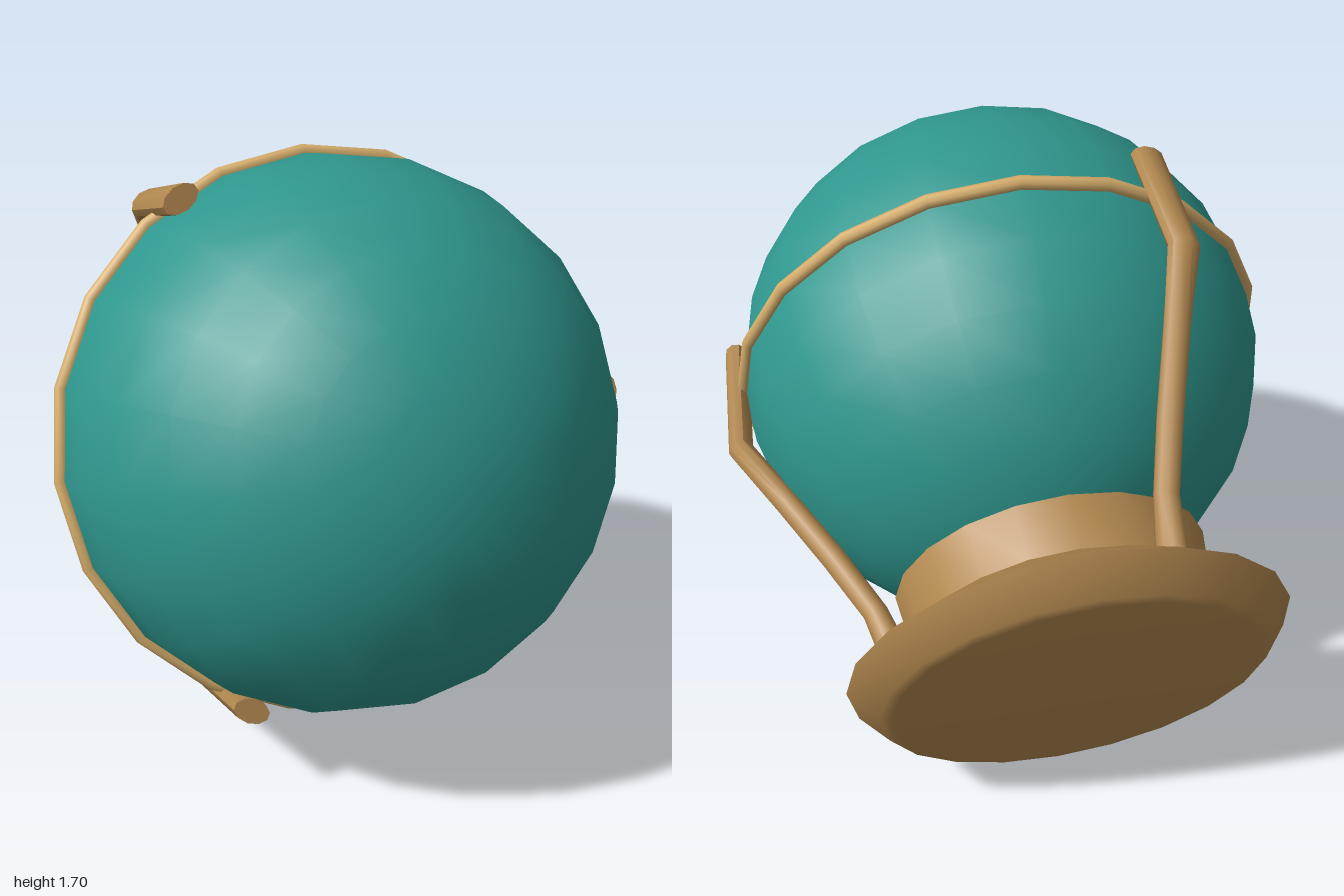
import * as THREE from 'three';
import { toCreasedNormals } from 'three/addons/utils/BufferGeometryUtils.js';

const SIDES = 20;

// Bent strut lofted from oval sections: [radius, height, half thickness, half width]
function strutGeometry(stations, sides = 10) {
  const positions = [], index = [];
  const last = stations.length - 1;
  stations.forEach(([r, y, thick, wide], i) => {
    const a = stations[Math.max(i - 1, 0)], b = stations[Math.min(i + 1, last)];
    const along = new THREE.Vector2(b[0] - a[0], b[1] - a[1]).normalize();
    for (let k = 0; k < sides; k++) {
      const angle = (k / sides) * Math.PI * 2;
      const out = Math.cos(angle) * thick;
      positions.push(r - along.y * out, y + along.x * out, Math.sin(angle) * wide);
    }
  });
  for (let i = 0; i < last; i++) {
    for (let k = 0; k < sides; k++) {
      const a = i * sides + k, b = i * sides + (k + 1) % sides;
      index.push(a, b, a + sides, b, b + sides, a + sides);
    }
  }
  // End caps
  for (let k = 1; k < sides - 1; k++) {
    const e = last * sides;
    index.push(0, k + 1, k, e, e + k, e + k + 1);
  }
  const geometry = new THREE.BufferGeometry();
  geometry.setAttribute('position', new THREE.Float32BufferAttribute(positions, 3));
  geometry.setIndex(index);
  return toCreasedNormals(geometry, 0.75);
}

export function createModel() {
  const teal = new THREE.MeshStandardMaterial({ name: 'teal', color: 0x2f978e });
  const wood = new THREE.MeshStandardMaterial({ name: 'wood', color: 0xb2884f });
  const brass = new THREE.MeshStandardMaterial({ name: 'paleBrass', color: 0xd6ae6c });

  const model = new THREE.Group();
  model.name = 'globeOnStand';

  // Everything shares one axis, tipped forward about the globe's centre
  const tilted = new THREE.Group();
  tilted.name = 'tiltedGlobe';
  tilted.position.set(-0.03, 0.92, 0.21);
  tilted.rotation.x = THREE.MathUtils.degToRad(70);
  model.add(tilted);

  const add = (name, geometry, material) => {
    const mesh = new THREE.Mesh(geometry, material);
    mesh.name = name;
    tilted.add(mesh);
    return mesh;
  };

  add('globe', new THREE.SphereGeometry(0.787, SIDES, 14), teal);

  // Thin band round the equator
  const band = add('equatorRing', new THREE.TorusGeometry(0.79, 0.021, 8, SIDES), brass);
  band.rotation.x = Math.PI / 2;

  // Flared foot, neck and shallow dish below the globe
  const profile = [
    [0, -1.09], [0.5, -1.09], [0.53, -1.085], [0.607, -1.0],
    [0.42, -0.89], [0.44, -0.745], [0.36, -0.8], [0, -0.81],
  ].map(([r, y]) => new THREE.Vector2(r, y));
  add('base', toCreasedNormals(new THREE.LatheGeometry(profile, SIDES), 1.0), wood);

  // Three bent arms from the base to the band
  const arm = strutGeometry([
    [0.46, -0.93, 0.042, 0.042],
    [0.5, -0.78, 0.035, 0.034],
    [0.59, -0.6, 0.036, 0.036],
    [0.7, -0.4, 0.036, 0.037],
    [0.815, -0.2, 0.036, 0.05],
    [0.8, 0.15, 0.034, 0.054],
  ]);
  for (let i = 0; i < 3; i++) {
    add('supportArm' + (i + 1), arm, wood).rotation.y = (i * Math.PI * 2) / 3;
  }

  return model;
}
